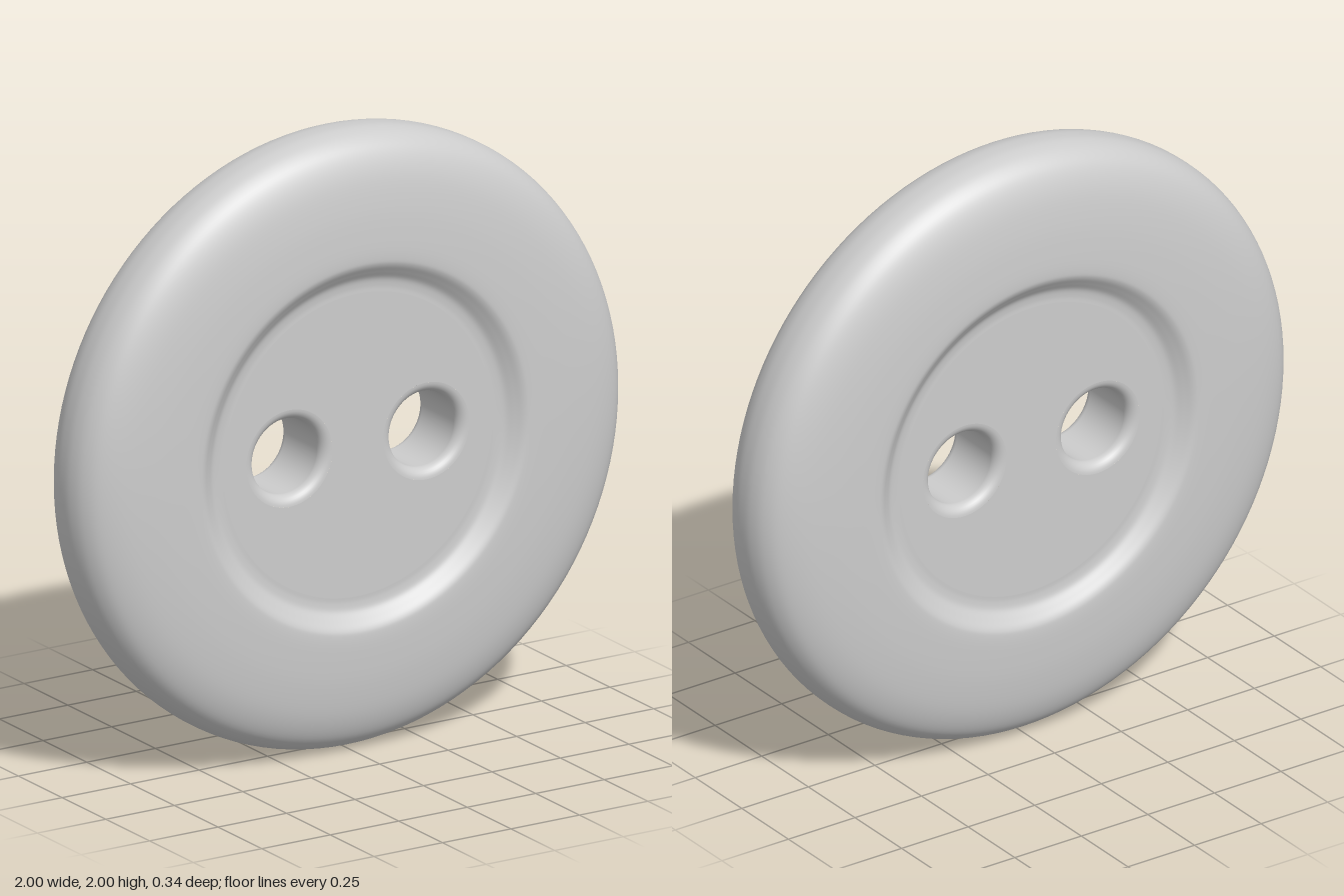
import * as THREE from 'three';

const SEG = 128;
const DISH_R = 0.49;   // radius where the flat dish meets the rim
const DISH_Z = 0.125;  // half thickness of the dish
const HOLE_X = 0.25;
const HOLE_R = 0.122;
const FILLET = 0.035;  // rounding of the hole edges

export function createModel() {
  const material = new THREE.MeshStandardMaterial({ color: 0xcccccc });
  material.name = 'lightGrey';

  const group = new THREE.Group();
  group.name = 'button';
  const add = (name, geometry, x = 0) => {
    const mesh = new THREE.Mesh(geometry, material);
    mesh.name = name;
    mesh.position.set(x, 1, 0);
    group.add(mesh);
    return mesh;
  };
  const v = (r, z) => new THREE.Vector2(r, z);
  const lathe = (points) => new THREE.LatheGeometry(points, SEG).rotateX(Math.PI / 2);

  // Rim: rounded outer edge and a soft step down to the dish, mirrored front to back
  const half = [
    [0.996, 0.04], [0.978, 0.082], [0.94, 0.118], [0.87, 0.145], [0.77, 0.161],
    [0.67, 0.168], [0.61, 0.169], [0.585, 0.164], [0.56, 0.147], [0.535, 0.13],
    [0.51, DISH_Z], [DISH_R, DISH_Z],
  ];
  const profile = [
    ...half.map(([r, z]) => v(r, -z)).reverse(),
    v(1, 0),
    ...half.map(([r, z]) => v(r, z)),
  ];
  add('rim', lathe(new THREE.SplineCurve(profile).getPoints(120)));

  // Dish: flat faces with two openings, front and back
  const disc = new THREE.Shape().absarc(0, 0, DISH_R, 0, Math.PI * 2, false);
  for (const side of [-1, 1]) {
    disc.holes.push(new THREE.Path().absarc(side * HOLE_X, 0, HOLE_R + FILLET, 0, Math.PI * 2, true));
  }
  const face = () => new THREE.ShapeGeometry(disc, SEG).translate(0, 0, DISH_Z);
  add('frontDish', face());
  add('backDish', face().rotateY(Math.PI));

  // Hole walls with rounded edges, facing inward
  const edge = [];
  for (let i = 0; i <= 8; i++) {
    const a = (i / 8) * Math.PI / 2;
    edge.push([HOLE_R + FILLET * (1 - Math.sin(a)), DISH_Z - FILLET * (1 - Math.cos(a))]);
  }
  const wall = [
    ...edge.map(([r, z]) => v(r, z)),
    ...edge.map(([r, z]) => v(r, -z)).reverse(),
  ];
  add('leftHole', lathe(wall), HOLE_X);
  add('rightHole', lathe(wall), -HOLE_X);

  return group;
}
